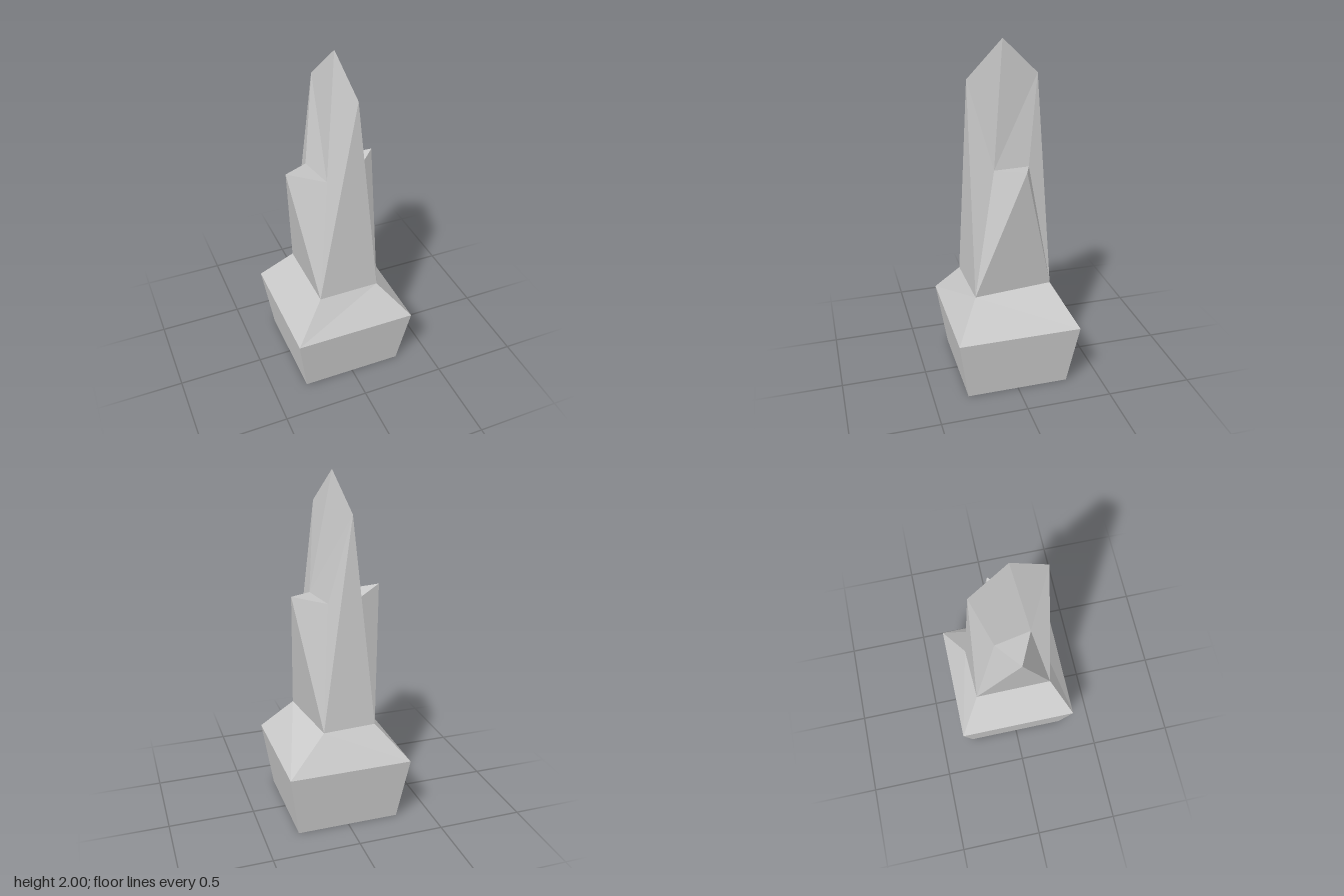
import * as THREE from 'three';

const material = new THREE.MeshStandardMaterial({
  color: 0xcccccc, flatShading: true, side: THREE.DoubleSide,
});

// Faceted mesh from triangles of corner points
function facets(name, triangles) {
  const geometry = new THREE.BufferGeometry();
  geometry.setAttribute('position', new THREE.Float32BufferAttribute(triangles.flat(2), 3));
  geometry.computeVertexNormals();
  const mesh = new THREE.Mesh(geometry, material);
  mesh.name = name;
  return mesh;
}

// Square ring of corners: front left, front right, back right, back left
const square = (h, y) => [[-h, y, h], [h, y, h], [h, y, -h], [-h, y, -h]];

// Four-sided wall joining two rings
function band(name, low, high) {
  const triangles = [];
  for (let i = 0; i < 4; i++) {
    const j = (i + 1) % 4;
    const [a, b, c, d] = [low[i], low[j], high[j], high[i]];
    if (i === 0) triangles.push([a, b, c], [a, c, d]);
    else triangles.push([a, b, d], [b, c, d]);
  }
  return facets(name, triangles);
}

// Side shard: two root corners, an outer point and two inner points
function shard(name, rootA, rootB, outer, innerA, innerB) {
  return facets(name, [
    [rootA, rootB, outer], [rootA, outer, innerA],
    [rootB, innerB, outer], [outer, innerB, innerA],
  ]);
}

export function createModel() {
  const group = new THREE.Group();
  group.name = 'crystalSpire';

  // Shoulder corners
  const A = [-0.178, 0.595, 0.235], B = [0.183, 0.585, 0.221];
  const C = [0.128, 0.585, -0.24], D = [-0.18, 0.59, -0.227];
  // Blade tip, front peak and back peak
  const tip = [0, 2, 0.01], front = [0.043, 1.805, 0.218], back = [-0.045, 1.795, -0.2];
  // Shard points
  const leftOuter = [0.253, 1.34, -0.055], leftFront = [0.108, 1.312, 0.088], leftBack = [0.065, 1.3, -0.122];
  const rightOuter = [-0.285, 1.345, 0.021], rightFront = [-0.085, 1.3, 0.113], rightBack = [-0.128, 1.31, -0.095];

  // Open-bottomed flared base and sloping shoulder
  const rim = square(0.356, 0.383);
  group.add(band('base', square(0.3, 0), rim));
  group.add(band('shoulder', rim, [A, B, C, D]));

  // Tall central blade
  group.add(facets('blade', [
    [A, B, front], [C, D, back],
    [front, B, leftFront], [front, leftFront, tip], [tip, leftFront, back],
    [back, leftFront, leftBack], [back, leftBack, C],
    [back, D, rightBack], [back, rightBack, rightFront], [back, rightFront, tip],
    [tip, rightFront, front], [front, rightFront, A],
  ]));

  // Shards leaning out on either side
  group.add(shard('leftShard', B, C, leftOuter, leftFront, leftBack));
  group.add(shard('rightShard', D, A, rightOuter, rightBack, rightFront));
  return group;
}
